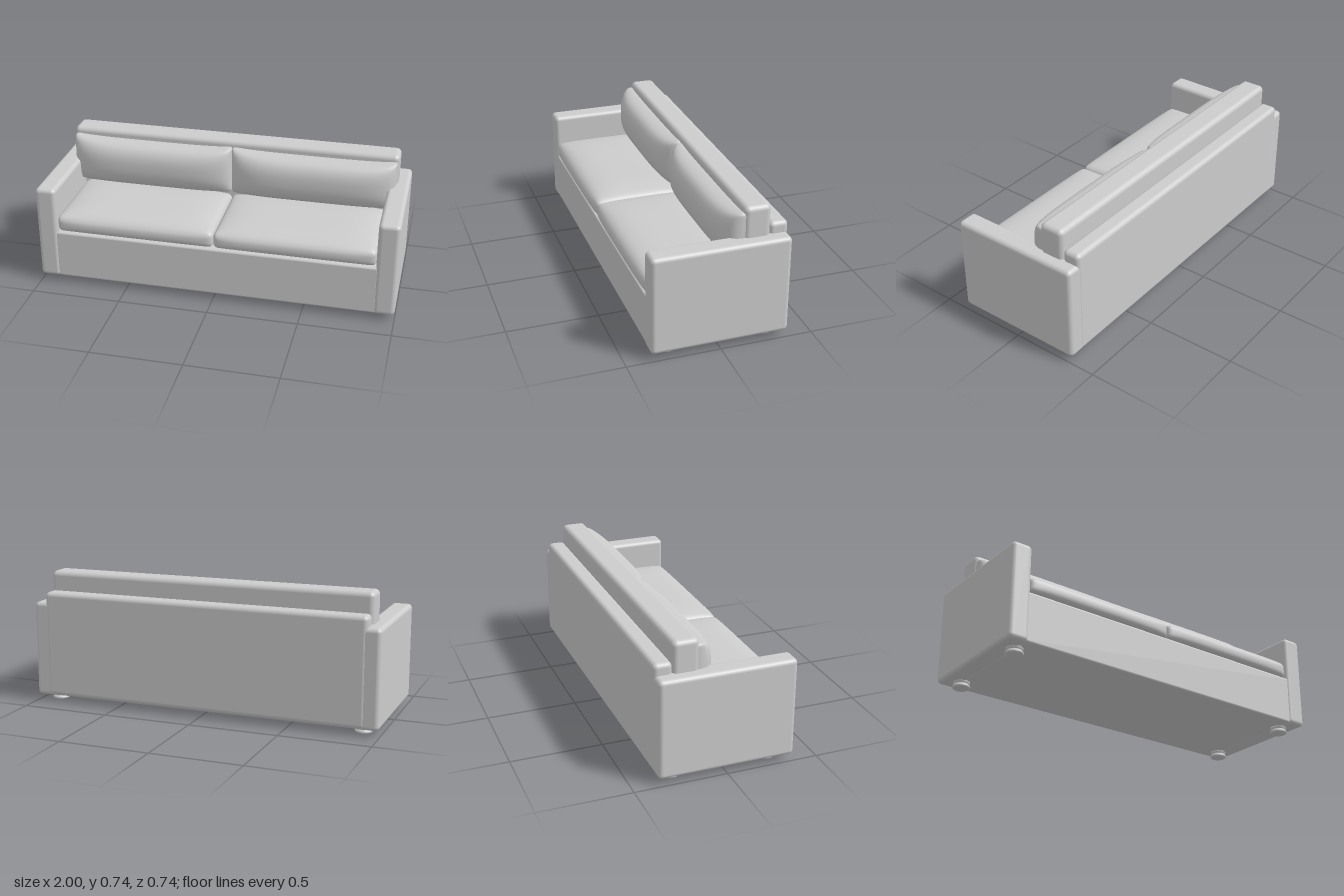
import * as THREE from 'three';
import { RoundedBoxGeometry } from 'three/addons/geometries/RoundedBoxGeometry.js';
import { mergeVertices } from 'three/addons/utils/BufferGeometryUtils.js';

const fabric = new THREE.MeshStandardMaterial({ color: 0xcccccc });
fabric.name = 'grey fabric';

function add(parent, name, geometry, x = 0, y = 0, z = 0) {
  const mesh = new THREE.Mesh(geometry, fabric);
  mesh.name = name;
  mesh.position.set(x, y, z);
  parent.add(mesh);
  return mesh;
}

// Rounded block given by its limits on each axis
function block(parent, name, [x0, x1], [y0, y1], [z0, z1], r) {
  return add(parent, name, new RoundedBoxGeometry(x1 - x0, y1 - y0, z1 - z0, 4, r),
    (x0 + x1) / 2, (y0 + y1) / 2, (z0 + z1) / 2);
}

// Finely divided rounded box; bulge(p, u, v, t) then shifts each point, with u, v, t in -1..1
function cushion(w, h, d, r, bulge) {
  let g = new THREE.BoxGeometry(w, h, d, 28, 20, 20);
  g.deleteAttribute('uv');
  g.deleteAttribute('normal');
  g = mergeVertices(g, 1e-5);
  const half = new THREE.Vector3(w / 2, h / 2, d / 2);
  const inner = half.clone().subScalar(r);
  const p = new THREE.Vector3(), core = new THREE.Vector3();
  const pos = g.attributes.position;
  for (let i = 0; i < pos.count; i++) {
    p.fromBufferAttribute(pos, i).divide(half);
    // crowd the grid towards the edges
    p.set(...p.toArray().map((a) => Math.sin(a * Math.PI / 2))).multiply(half);
    core.copy(p).clamp(inner.clone().negate(), inner);
    p.sub(core).setLength(r).add(core);
    bulge(p, p.x / half.x, p.y / half.y, p.z / half.z);
    pos.setXYZ(i, p.x, p.y, p.z);
  }
  g.computeVertexNormals();
  return g;
}

const falloff = (a, n) => Math.max(0, 1 - Math.abs(a) ** n);

export function createModel() {
  const sofa = new THREE.Group();
  sofa.name = 'sofa';

  // Frame
  block(sofa, 'base', [-0.9, 0.9], [0.037, 0.315], [-0.36, 0.362], 0.012);
  block(sofa, 'backFrame', [-0.93, 0.93], [0.04, 0.635], [-0.372, -0.272], 0.025);
  block(sofa, 'backRest', [-0.937, 0.937], [0.3, 0.742], [-0.275, -0.135], 0.028);
  for (const s of [-1, 1]) {
    const x = s < 0 ? [-1, -0.885] : [0.885, 1];
    block(sofa, s < 0 ? 'rightArm' : 'leftArm', x, [0.035, 0.575], [-0.369, 0.369], 0.024);
  }

  // Seat cushions: crowned top and softly swollen front
  const seat = cushion(0.886, 0.092, 0.52, 0.03, (p, u, v, t) => {
    if (v > 0) p.y += 0.032 * v * falloff(u, 6) * falloff(t, 4);
    if (t > 0) p.z += 0.012 * t * falloff(u, 6) * falloff(v, 2);
  });
  // Back cushions: flat behind, round in front, slightly sagging along the top
  const pillow = cushion(0.928, 0.275, 0.05, 0.018, (p, u, v, t) => {
    const fill = Math.sqrt(falloff(u, 4) * falloff(v, 2.6));
    if (t > 0) p.z += 0.095 * t * fill;
    if (v > 0) p.y -= 0.012 * v * falloff(u, 4);
  });
  for (const s of [-1, 1]) {
    const side = s < 0 ? 'right' : 'left';
    add(sofa, side + 'SeatCushion', seat, s * 0.443, 0.364, 0.1);
    add(sofa, side + 'BackCushion', pillow, s * 0.464, 0.572, -0.135);
  }

  // Turned feet
  const profile = [[0, 0], [0.038, 0], [0.046, 0.004], [0.048, 0.01], [0.045, 0.016],
    [0.038, 0.021], [0.039, 0.025], [0.045, 0.032], [0.045, 0.04], [0, 0.04]];
  const foot = new THREE.LatheGeometry(profile.map(([x, y]) => new THREE.Vector2(x, y)), 32);
  for (const x of [-0.9, 0.9]) {
    for (const z of [-0.272, 0.256]) add(sofa, 'foot', foot, x, 0, z);
  }

  return sofa;
}
